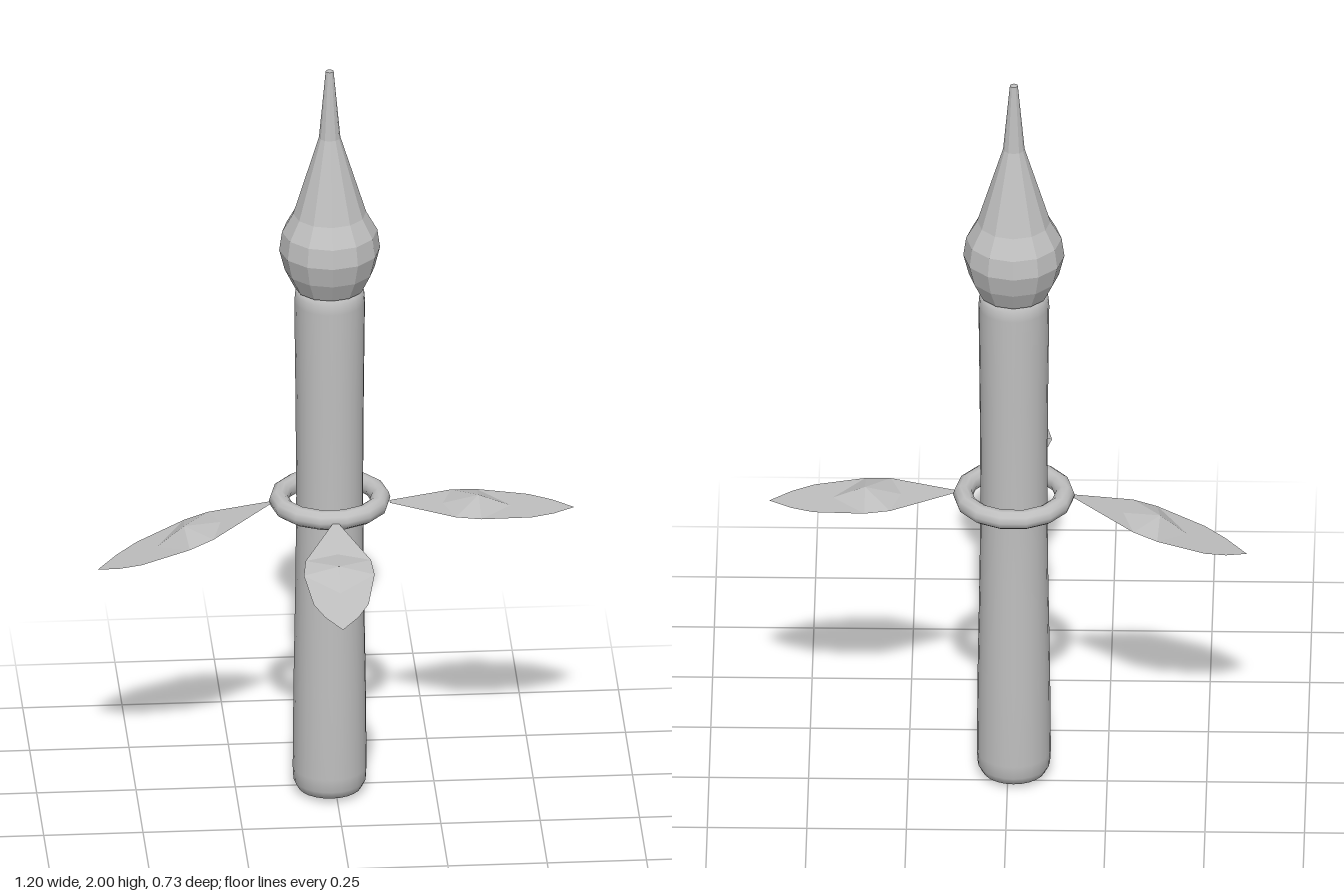
import * as THREE from 'three';

const grey = new THREE.MeshStandardMaterial({ color: 0xbfbfbf, side: THREE.DoubleSide });
grey.name = 'plain grey';

function part(name, geometry, parent) {
  const mesh = new THREE.Mesh(geometry, grey);
  mesh.name = name;
  parent.add(mesh);
  return mesh;
}

// Gives every face its own flat normal
function faceted(geometry) {
  const g = geometry.index ? geometry.toNonIndexed() : geometry;
  g.computeVertexNormals();
  return g;
}

const lathe = (profile, sides) =>
  new THREE.LatheGeometry(profile.map(([r, y]) => new THREE.Vector2(r, y)), sides);

// Flat leaf along +z with a shallow raised pyramid in its middle
function leafGeometry(length) {
  const edge = [[0.008, 0], [0.082, 0.15], [0.089, 0.21], [0.069, 0.33], [0.042, 0.383]];
  const s = length / 0.435;
  const mid = (t, h = 0) => [0, h, t * s];
  const base = mid(0), near = mid(0.125), apex = mid(0.208, 0.026), far = mid(0.285), tip = mid(0.435);
  const positions = [];
  for (const side of [1, -1]) {
    const e = edge.map(([w, t]) => [side * w, 0, t * s]);
    const triangles = [
      [base, near, e[0]], [near, e[1], e[0]],
      [near, apex, e[1]], [apex, e[2], e[1]], [apex, far, e[2]],
      [far, e[3], e[2]], [far, e[4], e[3]], [far, tip, e[4]],
    ];
    // Mirrored half needs the opposite corner order
    for (const [a, b, c] of triangles) positions.push(...a, ...(side > 0 ? b : c), ...(side > 0 ? c : b));
  }
  const g = new THREE.BufferGeometry();
  g.setAttribute('position', new THREE.Float32BufferAttribute(positions, 3));
  return faceted(g);
}

export function createModel() {
  const model = new THREE.Group();
  model.name = 'leafy spire';

  const post = new THREE.Group();
  post.name = 'post';
  post.position.set(-0.015, 0, -0.215);
  model.add(post);

  // Slightly waisted shaft with rounded ends
  part('shaft', lathe([
    [0, 0], [0.055, 0.003], [0.08, 0.014], [0.091, 0.035], [0.093, 0.07], [0.091, 0.3],
    [0.086, 0.6], [0.084, 0.82], [0.086, 1.1], [0.089, 1.36], [0.087, 1.385],
    [0.079, 1.398], [0, 1.402],
  ], 24), post);

  // Faceted bulb drawn out into a thin tip
  part('bulbFinial', faceted(lathe([
    [0, 1.395], [0.088, 1.4], [0.113, 1.45], [0.127, 1.505], [0.12, 1.555],
    [0.092, 1.605], [0.027, 1.815], [0.01, 1.998], [0, 2],
  ], 12)), post);

  // Loose ring around the shaft
  const ring = part('ring', new THREE.TorusGeometry(0.128, 0.025, 10, 14), post);
  ring.rotation.x = Math.PI / 2;
  ring.position.y = 0.81;

  // Three leaves drooping from the ring, each from its base to its tip
  const leaves = [
    ['frontLeaf', [-0.01, 0.81, -0.066], [-0.022, 0.718, 0.363]],
    ['leftLeaf', [0.135, 0.806, -0.196], [0.6, 0.775, -0.196]],
    ['rightLeaf', [-0.165, 0.805, -0.212], [-0.6, 0.637, -0.204]],
  ];
  for (const [name, from, to] of leaves) {
    const a = new THREE.Vector3(...from), b = new THREE.Vector3(...to);
    const leaf = part(name, leafGeometry(a.distanceTo(b)), model);
    leaf.position.copy(a);
    leaf.lookAt(b);
  }
  return model;
}
